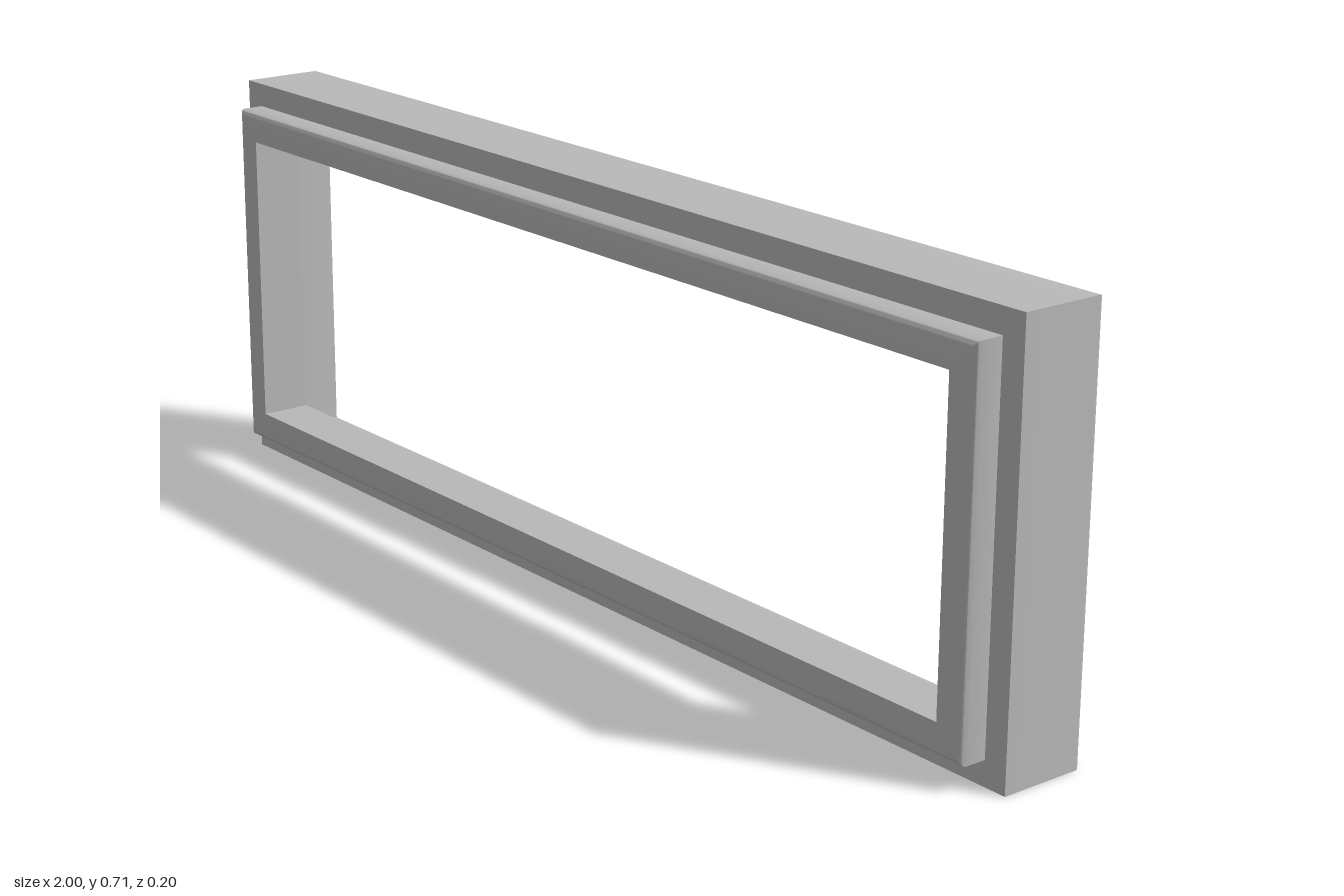
import * as THREE from 'three';
import { mergeGeometries, toCreasedNormals } from 'three/addons/utils/BufferGeometryUtils.js';

const HALF_W = 1, HEIGHT = 0.714;

// Rounded corner: points on an arc in (inset, z) space
function arc(cx, cz, r, from, to, steps = 6) {
  return Array.from({ length: steps + 1 }, (_, i) => {
    const a = THREE.MathUtils.degToRad(from + (to - from) * i / steps);
    return [cx + r * Math.cos(a), cz + r * Math.sin(a)];
  });
}

// Sweep an (inset, z) profile around the rectangle with mitred corners
function mitredFrame(profile) {
  const corners = [[-1, 0], [1, 0], [1, 1], [-1, 1]];
  const point = ([sx, top], [d, z]) => [sx * (HALF_W - d), top ? HEIGHT - d : d, z];
  const sides = corners.map((a, k) => {
    const b = corners[(k + 1) % 4];
    const pos = [];
    for (let i = 0; i < profile.length - 1; i++) {
      const p = profile[i], q = profile[i + 1];
      pos.push(...point(a, p), ...point(a, q), ...point(b, q));
      pos.push(...point(a, p), ...point(b, q), ...point(b, p));
    }
    const g = new THREE.BufferGeometry();
    g.setAttribute('position', new THREE.Float32BufferAttribute(pos, 3));
    return toCreasedNormals(g, Math.PI / 6);
  });
  return mergeGeometries(sides);
}

export function createModel() {
  const group = new THREE.Group();
  group.name = 'windowFrame';
  const grey = new THREE.MeshStandardMaterial({ color: 0xb8b8b8 });
  grey.name = 'grey';

  const add = (name, profile) => {
    const mesh = new THREE.Mesh(mitredFrame(profile), grey);
    mesh.name = name;
    group.add(mesh);
  };

  // Deep outer housing, its back lip rounded on both edges, with an inner ledge
  add('housing', [
    [0.042, 0.053], [0, 0.053],
    ...arc(0.009, -0.091, 0.009, 180, 270),
    ...arc(0.027, -0.091, 0.009, 270, 360),
    [0.036, 0.01], [0.095, 0.01],
  ]);

  // Raised front bezel with a rounded outer edge
  add('bezel', [
    [0.095, 0.01], [0.095, 0.1],
    ...arc(0.052, 0.09, 0.01, 90, 180),
    [0.042, 0.053],
  ]);

  return group;
}
